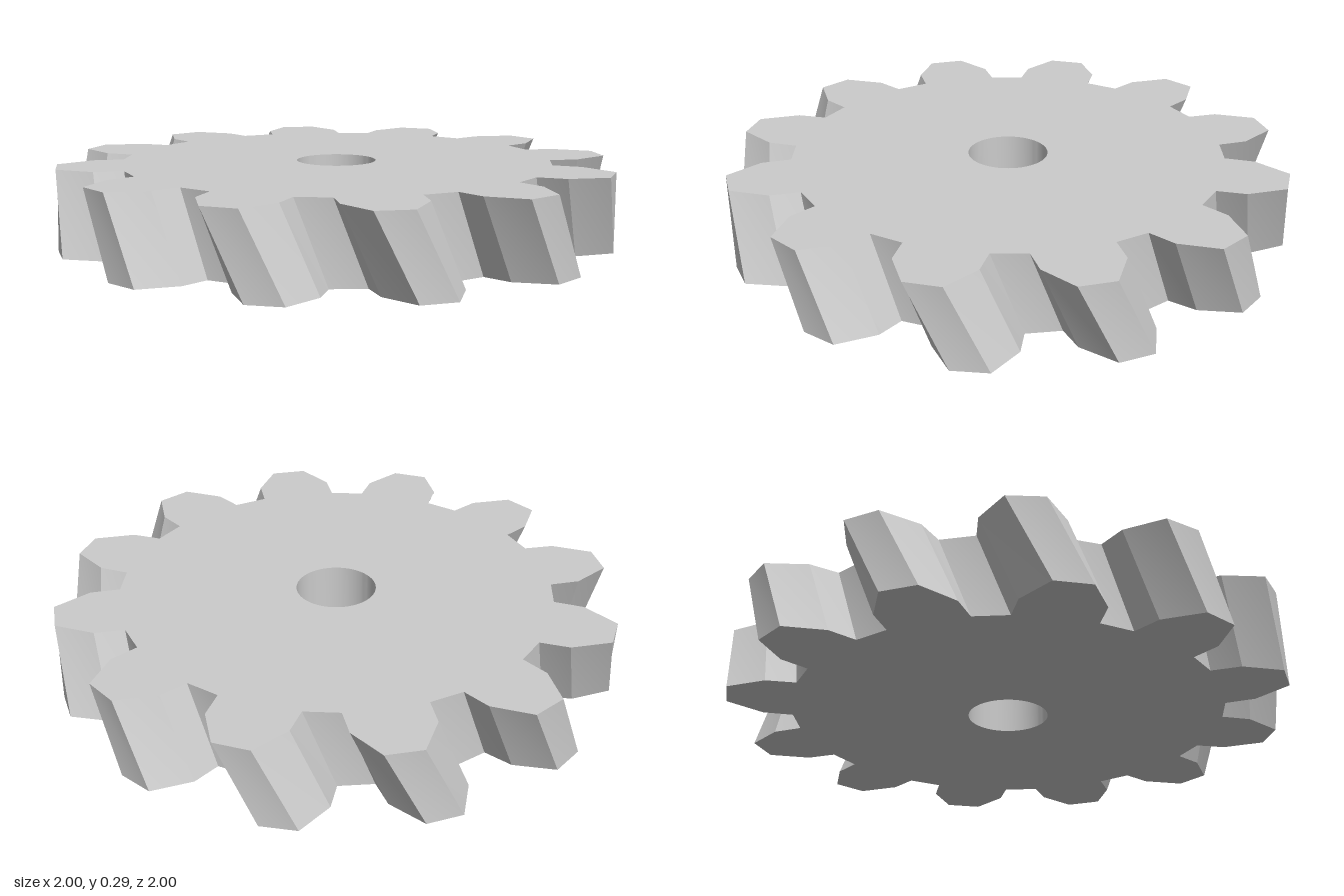
import * as THREE from 'three';
import { toCreasedNormals } from 'three/addons/utils/BufferGeometryUtils.js';

const TEETH = 12;
const HEIGHT = 0.288;
const BORE = 0.143;
const TWIST = THREE.MathUtils.degToRad(8.05);

// One tooth pointing along +x: root, shoulder, tip, tip, shoulder, root
const TOOTH = [
  [0.765, -0.141], [0.871, -0.139], [1, -0.064],
  [1, 0.064], [0.871, 0.139], [0.765, 0.141],
];

// Toothed outline with a round bore
function gearShape() {
  const points = [];
  for (let i = 0; i < TEETH; i++) {
    const angle = (i / TEETH) * Math.PI * 2;
    for (const [x, y] of TOOTH) {
      points.push(new THREE.Vector2(x, y).rotateAround(new THREE.Vector2(), angle));
    }
  }
  const shape = new THREE.Shape(points);
  shape.holes.push(new THREE.Path().absarc(0, 0, BORE, 0, Math.PI * 2, true));
  return shape;
}

// Turn each level about y, so that the teeth lean like a helical gear
function twist(geometry) {
  const pos = geometry.attributes.position;
  const axis = new THREE.Vector3(0, 1, 0);
  const v = new THREE.Vector3();
  for (let i = 0; i < pos.count; i++) {
    v.fromBufferAttribute(pos, i);
    if (Math.hypot(v.x, v.z) < BORE * 1.5) continue; // the bore stays straight
    v.applyAxisAngle(axis, TWIST * (1 - v.y / HEIGHT));
    pos.setXYZ(i, v.x, v.y, v.z);
  }
}

export function createModel() {
  const group = new THREE.Group();
  group.name = 'helicalGear';

  const geometry = new THREE.ExtrudeGeometry(gearShape(), {
    depth: HEIGHT, steps: 1, bevelEnabled: false, curveSegments: 48,
  });
  geometry.rotateX(-Math.PI / 2);
  twist(geometry);

  // Crisp teeth, smooth bore
  const gear = new THREE.Mesh(
    toCreasedNormals(geometry, 0.2),
    new THREE.MeshStandardMaterial({ color: 0xcccccc }),
  );
  gear.name = 'gearBody';
  group.add(gear);
  return group;
}
